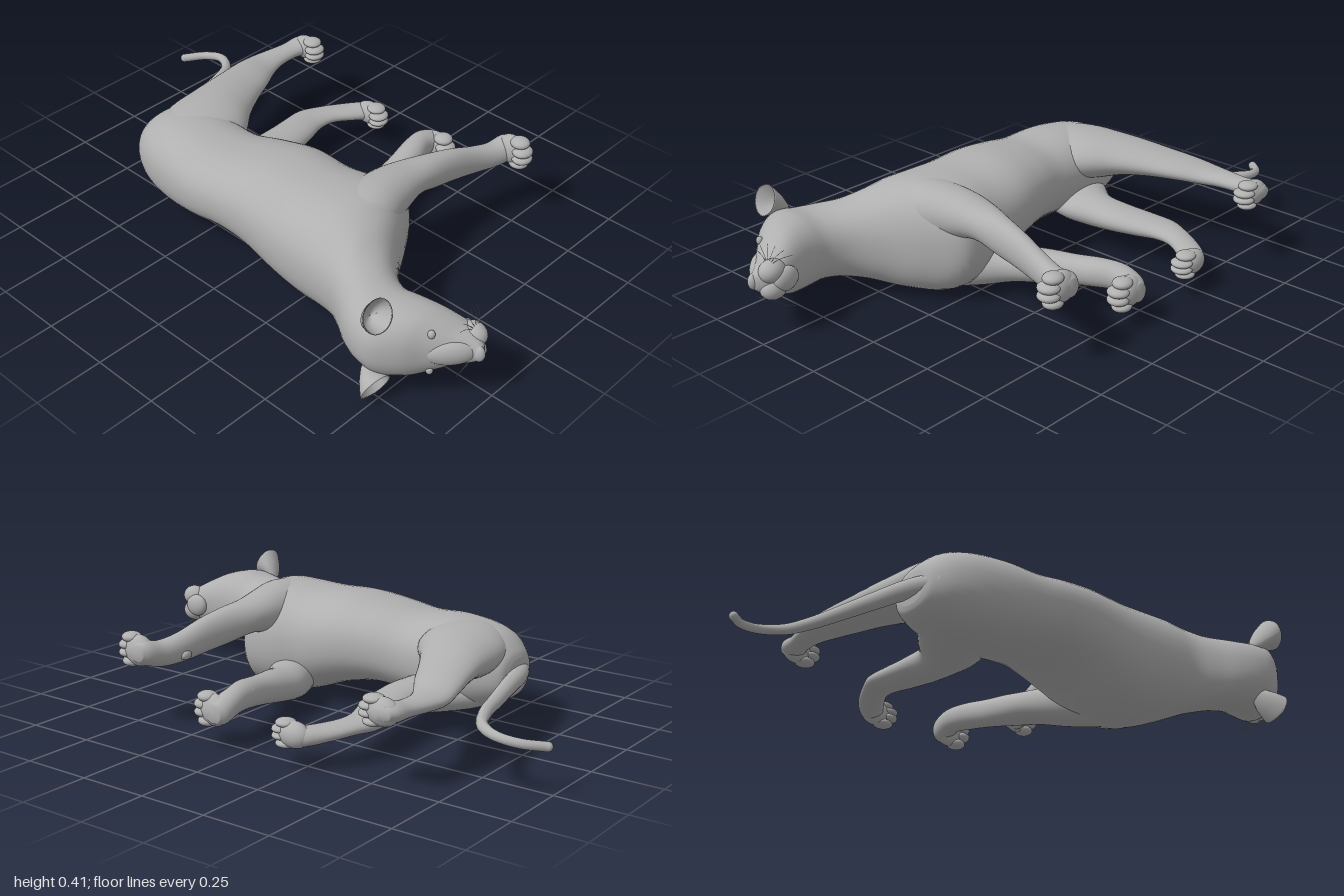
import * as THREE from 'three';

const fur = new THREE.MeshStandardMaterial({ color: 0xb0b0b0, side: THREE.DoubleSide });
fur.name = 'grey fur';

// The animal lies on its side: nose to +x, its back to +z, its feet to -z.
function add(group, name, geometry) {
  const mesh = new THREE.Mesh(geometry, fur);
  mesh.name = name;
  group.add(mesh);
  return mesh;
}

function ball(group, name, pos, radii) {
  const m = add(group, name, new THREE.SphereGeometry(1, 24, 16));
  m.position.set(...pos);
  m.scale.set(...radii);
  return m;
}

// Smooth skin through rounded sections [position, aMin, aMax, bMin, bMax];
// axis x uses (a, b) = (y, z), axis z uses (a, b) = (x, y). Powers below 1 flatten the sides.
function loft(sections, axis, power = 1, steps = 5, sides = 40) {
  const mid = new THREE.CatmullRomCurve3(
    sections.map(([p, a0, a1, b0, b1]) => new THREE.Vector3(p, (a0 + a1) / 2, (b0 + b1) / 2)), false, 'catmullrom');
  const rad = new THREE.CatmullRomCurve3(
    sections.map(([, a0, a1, b0, b1]) => new THREE.Vector3((a1 - a0) / 2, (b1 - b0) / 2, 0)), false, 'catmullrom');
  const rings = (sections.length - 1) * steps;
  const pos = [], index = [];
  const put = (p, a, b) => (axis === 'x' ? pos.push(p, a, b) : pos.push(a, b, p));
  const round = (v) => Math.sign(v) * Math.abs(v) ** power;
  for (let i = 0; i <= rings; i++) {
    const c = mid.getPoint(i / rings), r = rad.getPoint(i / rings);
    for (let j = 0; j < sides; j++) {
      const t = (j / sides) * Math.PI * 2;
      put(c.x, c.y + r.x * round(Math.cos(t)), c.z + r.y * round(Math.sin(t)));
    }
  }
  for (let i = 0; i < rings; i++) {
    for (let j = 0; j < sides; j++) {
      const k = (j + 1) % sides;
      const a = i * sides + j, b = i * sides + k;
      index.push(a, b, b + sides, a, b + sides, a + sides);
    }
  }
  // Rounded end poles
  const first = mid.getPoint(0), last = mid.getPoint(1);
  put(first.x - 0.004, first.y, first.z);
  put(last.x + 0.004, last.y, last.z);
  const south = (rings + 1) * sides, north = south + 1;
  for (let j = 0; j < sides; j++) {
    const k = (j + 1) % sides;
    index.push(south, k, j, north, rings * sides + j, rings * sides + k);
  }
  const g = new THREE.BufferGeometry();
  g.setAttribute('position', new THREE.Float32BufferAttribute(pos, 3));
  g.setIndex(index);
  g.computeVertexNormals();
  return g;
}

// Palm with four toes, pointing to +x
function paw(group, name, x, y, z, width) {
  const g = new THREE.Group();
  g.name = name;
  group.add(g);
  ball(g, 'palm', [x, y, z], [0.058, width * 0.47, 0.038]);
  for (let i = 0; i < 4; i++) {
    const s = i - 1.5;
    const inner = Math.abs(s) < 1;
    ball(g, 'toe', [x + (inner ? 0.05 : 0.034), y + s * width * 0.24, z + (inner ? 0.004 : 0)],
      [0.036, width * 0.16, inner ? 0.039 : 0.034]);
  }
}

// Cupped ear opening forwards, its back drawn in towards the skull
function ear(group, s) {
  const cup = [[0.002, -0.06], [0.03, -0.042], [0.047, -0.017], [0.056, 0.012], [0.057, 0.018], [0.053, 0.016],
    [0.042, -0.01], [0.026, -0.028], [0.002, -0.036]].map(([r, h]) => new THREE.Vector2(r, h));
  const g = new THREE.LatheGeometry(cup, 32);
  g.applyQuaternion(new THREE.Quaternion().setFromUnitVectors(new THREE.Vector3(0, 1, 0),
    new THREE.Vector3(1, s * 0.4, 0.12).normalize()));
  const at = g.attributes.position;
  for (let i = 0; i < at.count; i++) {
    const back = Math.min(0, at.getX(i));
    at.setY(i, at.getY(i) + s * back * 0.6);
    at.setZ(i, at.getZ(i) + back * 0.45);
  }
  g.computeVertexNormals();
  add(group, 'ear', g).position.set(0.735, 0.205 + s * 0.14, 0.517);
}

export function createModel() {
  const model = new THREE.Group();
  model.name = 'lyingBigCat';

  // Trunk, neck and skull in one skin
  add(model, 'bodyAndSkull', loft([
    [-0.615, 0.15, 0.26, 0.13, 0.26], [-0.6, 0.125, 0.29, 0.09, 0.295], [-0.55, 0.095, 0.335, 0.06, 0.34],
    [-0.47, 0.07, 0.36, 0.04, 0.375], [-0.35, 0.065, 0.37, 0.035, 0.398], [-0.22, 0.08, 0.365, 0.03, 0.406],
    [-0.1, 0.095, 0.385, 0, 0.405], [0.03, 0.075, 0.403, -0.03, 0.403], [0.17, 0.025, 0.4, -0.04, 0.407],
    [0.28, 0.003, 0.405, -0.065, 0.413], [0.38, 0.01, 0.403, -0.06, 0.42], [0.46, 0.03, 0.375, 0.045, 0.43],
    [0.53, 0.055, 0.34, 0.16, 0.465], [0.6, 0.068, 0.325, 0.24, 0.51], [0.67, 0.073, 0.323, 0.275, 0.538],
    [0.74, 0.07, 0.335, 0.275, 0.54], [0.81, 0.082, 0.325, 0.262, 0.495], [0.86, 0.105, 0.302, 0.25, 0.44],
    [0.91, 0.135, 0.272, 0.24, 0.387], [0.955, 0.155, 0.25, 0.258, 0.338], [0.983, 0.178, 0.228, 0.285, 0.318],
  ], 'x', 0.88));

  // Face
  const face = new THREE.Group();
  face.name = 'face';
  model.add(face);
  ball(face, 'chin', [0.893, 0.203, 0.246], [0.048, 0.043, 0.025]);
  ball(face, 'nose', [0.974, 0.203, 0.306], [0.024, 0.03, 0.018]);
  ball(face, 'noseBridge', [0.91, 0.204, 0.362], [0.085, 0.046, 0.032]).rotation.y = 0.82;
  for (const s of [-1, 1]) {
    ball(face, 'whiskerPad', [0.926, 0.203 + s * 0.03, 0.273], [0.048, 0.04, 0.04]);
    ball(face, 'eye', [0.868, 0.205 + s * 0.073, 0.405], [0.012, 0.015, 0.012]);
    ear(face, s);
    // Whiskers fanning from the pad
    for (let i = 0; i < 6; i++) {
      const f = i / 5 - 0.5;
      const p = (x, y, z) => new THREE.Vector3(x, 0.203 + s * y, z);
      const line = new THREE.QuadraticBezierCurve3(p(0.935, 0.06, 0.275 + f * 0.03),
        p(0.93, 0.085, 0.28 + f * 0.08), p(0.91 + f * 0.05, 0.12 - Math.abs(f) * 0.06, 0.285 + f * 0.14));
      add(face, 'whisker', new THREE.TubeGeometry(line, 6, 0.0008, 4));
    }
  }

  // Legs, listed from the foot up to the shoulder or hip
  add(model, 'leftFrontLeg', loft([
    [-0.57, 0.4, 0.46, 0.245, 0.305], [-0.54, 0.378, 0.47, 0.228, 0.318], [-0.48, 0.362, 0.448, 0.213, 0.305],
    [-0.4, 0.345, 0.422, 0.215, 0.32], [-0.3, 0.325, 0.408, 0.228, 0.352], [-0.2, 0.298, 0.404, 0.242, 0.372],
    [-0.1, 0.264, 0.407, 0.26, 0.383], [0, 0.246, 0.428, 0.24, 0.4], [0.12, 0.245, 0.46, 0.22, 0.409],
    [0.24, 0.26, 0.45, 0.24, 0.39], [0.32, 0.3, 0.41, 0.25, 0.343],
  ], 'z', 0.95));
  add(model, 'rightFrontLeg', loft([
    [-0.57, 0.06, 0.12, 0.095, 0.16], [-0.54, 0.04, 0.13, 0.085, 0.18], [-0.48, 0.038, 0.125, 0.105, 0.197],
    [-0.4, 0.05, 0.152, 0.1, 0.2], [-0.3, 0.067, 0.172, 0.083, 0.188], [-0.2, 0.072, 0.205, 0.062, 0.178],
    [-0.1, 0.08, 0.245, 0.042, 0.165], [0, 0.12, 0.32, 0.018, 0.17], [0.12, 0.18, 0.4, 0.004, 0.19],
    [0.24, 0.24, 0.4, 0.02, 0.16],
  ], 'z', 0.95));
  add(model, 'leftHindLeg', loft([
    [-0.58, -0.62, -0.55, 0.245, 0.29], [-0.54, -0.64, -0.545, 0.232, 0.3], [-0.48, -0.645, -0.562, 0.235, 0.29],
    [-0.4, -0.662, -0.56, 0.232, 0.288], [-0.33, -0.672, -0.535, 0.23, 0.292], [-0.25, -0.66, -0.487, 0.235, 0.31],
    [-0.15, -0.637, -0.435, 0.235, 0.33], [-0.05, -0.618, -0.375, 0.225, 0.35], [0.05, -0.606, -0.3, 0.2, 0.365],
    [0.15, -0.59, -0.28, 0.2, 0.369], [0.25, -0.55, -0.31, 0.2, 0.357], [0.32, -0.5, -0.38, 0.22, 0.315],
  ], 'z'));
  add(model, 'rightHindLeg', loft([
    [-0.57, -0.26, -0.2, 0.09, 0.135], [-0.54, -0.3, -0.2, 0.082, 0.147], [-0.48, -0.345, -0.235, 0.09, 0.147],
    [-0.4, -0.385, -0.28, 0.098, 0.152], [-0.33, -0.412, -0.285, 0.095, 0.158], [-0.25, -0.405, -0.262, 0.09, 0.168],
    [-0.15, -0.395, -0.24, 0.083, 0.178], [-0.05, -0.4, -0.235, 0.073, 0.187], [0.05, -0.48, -0.23, 0.063, 0.19],
    [0.15, -0.55, -0.25, 0.063, 0.2], [0.25, -0.52, -0.3, 0.075, 0.2], [0.32, -0.47, -0.36, 0.11, 0.2],
  ], 'z'));
  paw(model, 'leftFrontPaw', 0.447, 0.276, -0.535, 0.118);
  paw(model, 'rightFrontPaw', 0.107, 0.13, -0.535, 0.118);
  paw(model, 'leftHindPaw', -0.573, 0.265, -0.545, 0.1);
  paw(model, 'rightHindPaw', -0.228, 0.117, -0.54, 0.096);
  ball(model, 'leftDewclaw', [0.354, 0.245, -0.405], [0.016, 0.018, 0.024]);
  ball(model, 'rightDewclaw', [0.068, 0.165, -0.405], [0.016, 0.018, 0.024]);

  // Tapering tail
  const path = new THREE.CatmullRomCurve3([
    [-0.56, 0.205, 0.29], [-0.612, 0.205, 0.2], [-0.655, 0.203, 0.05], [-0.69, 0.2, -0.08], [-0.727, 0.198, -0.21],
    [-0.775, 0.193, -0.3], [-0.85, 0.187, -0.342], [-0.92, 0.175, -0.325], [-0.985, 0.162, -0.268],
  ].map((p) => new THREE.Vector3(...p)));
  const tail = new THREE.TubeGeometry(path, 60, 1, 16);
  const at = tail.attributes.position, v = new THREE.Vector3();
  for (let i = 0; i < at.count; i++) {
    const u = Math.floor(i / 17) / 60, c = path.getPointAt(u);
    v.fromBufferAttribute(at, i).sub(c).multiplyScalar(0.036 - 0.02 * Math.min(1, u * 1.2)).add(c);
    at.setXYZ(i, v.x, v.y, v.z);
  }
  tail.computeVertexNormals();
  add(model, 'tail', tail);
  ball(model, 'tailTip', [-0.985, 0.162, -0.268], [0.016, 0.016, 0.016]);
  return model;
}
